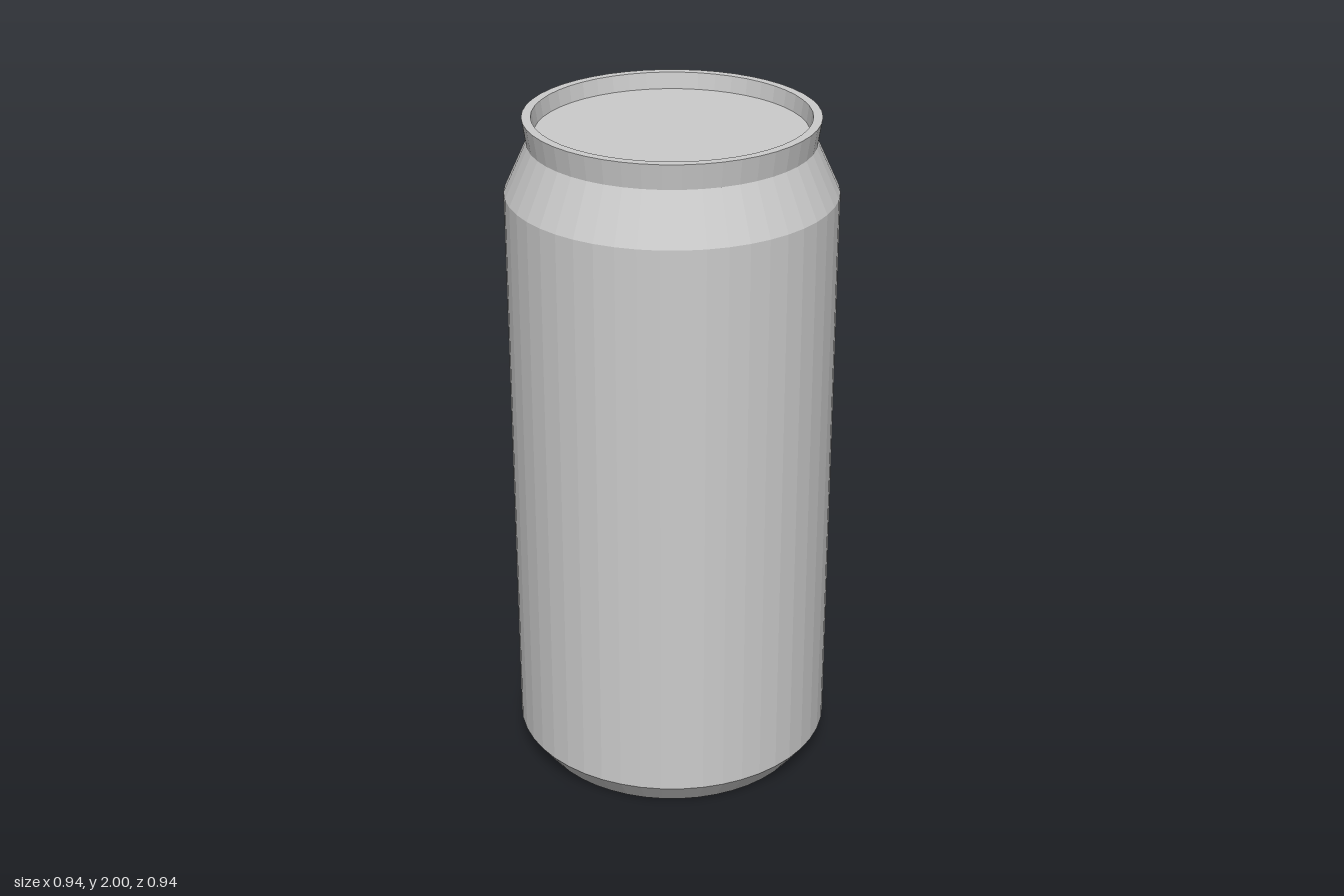
import * as THREE from 'three';

const SIDES = 48;

export function createModel() {
  const can = new THREE.Group();
  can.name = 'can';
  const material = new THREE.MeshStandardMaterial({ color: 0xcccccc, flatShading: true });

  // Turns a profile of [radius, height] points, listed so the faces point outward
  const turn = (name, profile) => {
    const points = profile.map(([r, y]) => new THREE.Vector2(r, y));
    const mesh = new THREE.Mesh(new THREE.LatheGeometry(points, SIDES), material);
    mesh.name = name;
    can.add(mesh);
  };

  // Recessed base inside a sharp standing edge
  turn('base', [[0, 0.073], [0.366, 0.073], [0.416, 0]]);
  // Lower chamfer, straight wall and tapered shoulder
  turn('body', [[0.416, 0], [0.472, 0.075], [0.472, 1.783], [0.406, 1.927]]);
  // Flared collar, flat rim and its inner wall
  turn('rim', [[0.406, 1.927], [0.417, 2], [0.391, 2], [0.384, 1.952]]);
  // Sunken lid
  turn('lid', [[0.384, 1.952], [0, 1.952]]);

  return can;
}
